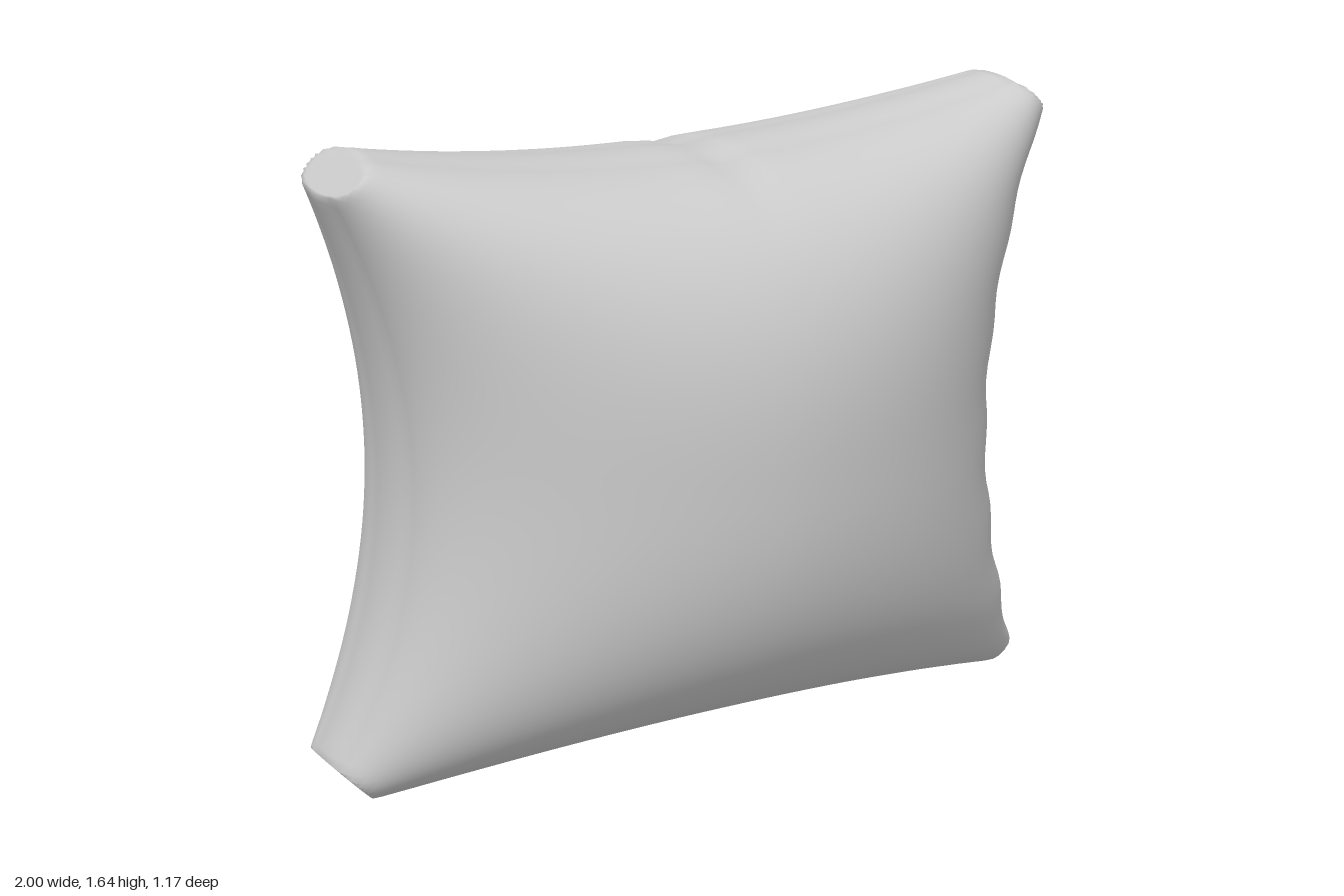
import * as THREE from 'three';
import { mergeVertices } from 'three/addons/utils/BufferGeometryUtils.js';

const MID = 0.815; // height of the cushion's centre
const fall = (t, p) => Math.sqrt(Math.max(0, 1 - Math.pow(Math.abs(t), p)));

// Maps a point of a cube (each axis -1..1) to the stuffed cushion.
function cushionPoint(s, t, w) {
  // pack the rows towards the seams
  const u = Math.sin(s * Math.PI / 2), v = Math.sin(t * Math.PI / 2);
  const nearU = Math.pow(Math.abs(u), 12), nearV = Math.pow(Math.abs(v), 12);

  // concave outline whose seam walls bulge a little
  const bulge = 0.012 * (1 - w * w);
  let x = u * (0.81 + 0.25 * v * v) + Math.sign(u) * bulge * nearU;
  let y = v * (0.71 + 0.14 * u * u) + Math.sign(v) * bulge * nearV;

  // cut the corners blunt
  const cut = Math.max(0, Math.abs(x) + Math.abs(y) - 1.725) / 2;
  x -= Math.sign(x) * cut;
  y -= Math.sign(y) * cut;

  // puffed thickness, with the corners twisted slightly
  const rim = 0.1 - 0.04 * u * u * v * v;
  const z = w * (rim + (0.585 - rim) * fall(u, 1.85) * fall(v, 2.6))
    + 0.055 * v * v * v * u * u;

  // shallow gathers along the left seam
  if (u > 0) {
    x -= 0.013 * (1 + Math.cos((y + MID - 0.9) * Math.PI * 2 / 0.245)) * nearU * (1 - v ** 4);
  }
  // small central tuck in the top seam
  if (v > 0) y -= nearV * 0.015 * Math.exp(-(((x - 0.04) / 0.04) ** 2));

  return [x, y + MID, z];
}

export function createModel() {
  const group = new THREE.Group();
  group.name = 'cushion';

  let geometry = new THREE.BoxGeometry(2, 2, 2, 64, 64, 6);
  geometry.deleteAttribute('normal');
  geometry.deleteAttribute('uv');
  geometry = mergeVertices(geometry);
  const pos = geometry.attributes.position;
  for (let i = 0; i < pos.count; i++) {
    pos.setXYZ(i, ...cushionPoint(pos.getX(i), pos.getY(i), pos.getZ(i)));
  }
  geometry.computeVertexNormals();

  // stand it on the ground, centred
  geometry.computeBoundingBox();
  const { min, max } = geometry.boundingBox;
  geometry.translate(-(min.x + max.x) / 2, -min.y, -(min.z + max.z) / 2);

  const pillow = new THREE.Mesh(geometry, new THREE.MeshStandardMaterial({ color: 0xcccccc }));
  pillow.name = 'pillow';
  group.add(pillow);
  return group;
}
